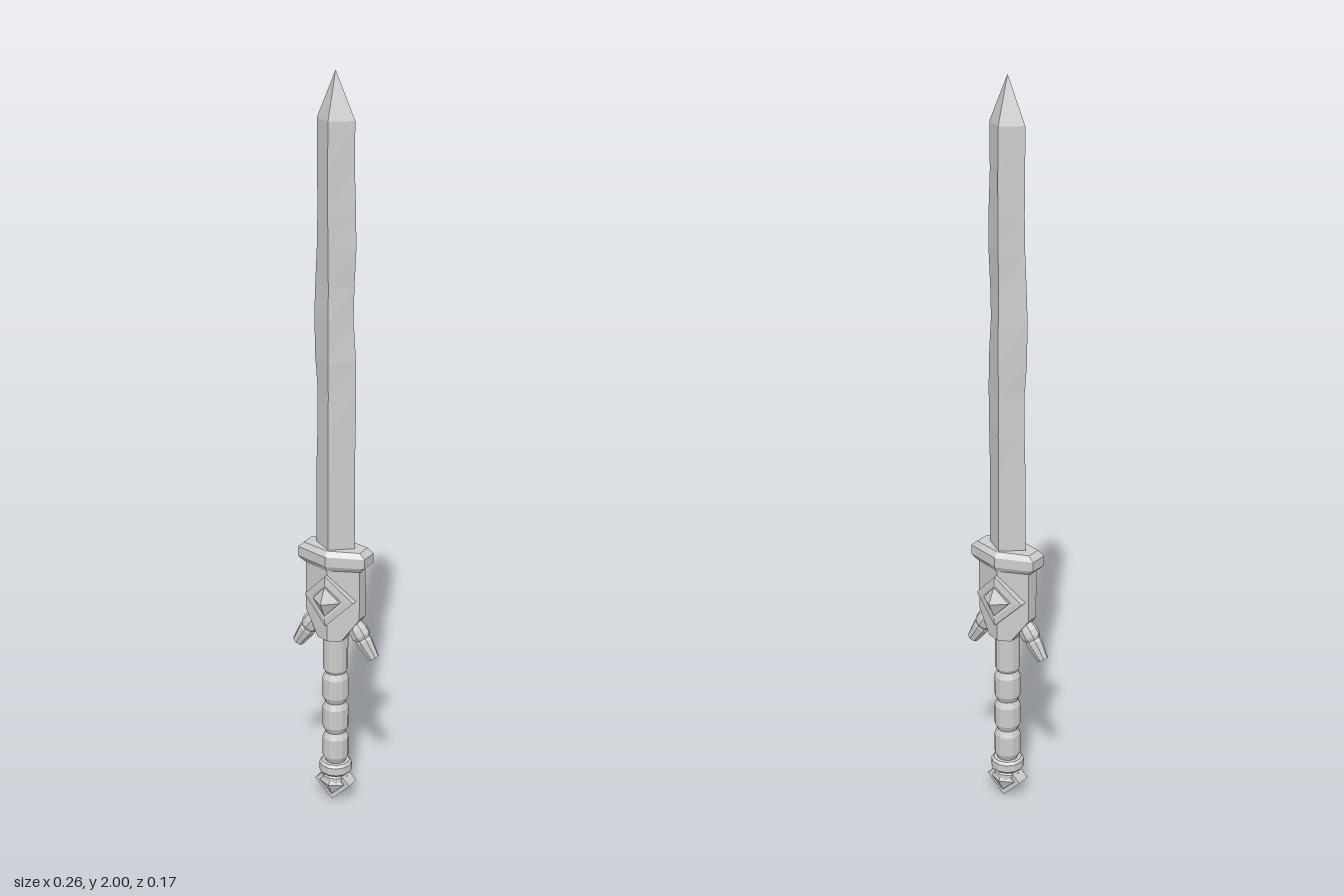
import * as THREE from 'three';

const material = new THREE.MeshStandardMaterial({ color: 0xcccccc, flatShading: true });

function addMesh(parent, name, geometry) {
  const mesh = new THREE.Mesh(geometry, material);
  mesh.name = name;
  parent.add(mesh);
  return mesh;
}

// Skins cross-sections; corners run counter-clockwise seen from the end of the loft.
function loft(rings) {
  const n = rings[0].length, pos = [], index = [];
  rings.forEach(ring => ring.forEach(p => pos.push(...p)));
  for (let r = 0; r < rings.length - 1; r++) {
    for (let i = 0; i < n; i++) {
      const a = r * n + i, b = r * n + (i + 1) % n;
      index.push(a, b, b + n, a, b + n, a + n);
    }
  }
  const last = (rings.length - 1) * n;
  for (let i = 1; i < n - 1; i++) {
    index.push(0, i + 1, i, last, last + i, last + i + 1);
  }
  const geometry = new THREE.BufferGeometry();
  geometry.setAttribute('position', new THREE.Float32BufferAttribute(pos, 3));
  geometry.setIndex(index);
  const flat = geometry.toNonIndexed();
  flat.computeVertexNormals();
  return flat;
}

// Six-sided plan section: half width w, half end thickness e, half depth d.
const hex = (y, w, e, d) => [
  [w, y, e], [w, y, -e], [0, y, -d], [-w, y, -e], [-w, y, e], [0, y, d],
];

// Diamond facing +z, folded back by "fold" at its side corners.
const diamond = (z, w, h, fold = 0) => [
  [w, 0, z - fold], [0, h, z], [-w, 0, z - fold], [0, -h, z],
];

const lathe = (profile, sides) =>
  new THREE.LatheGeometry(profile.map(([r, y]) => new THREE.Vector2(r, y)), sides);

export function createModel() {
  const sword = new THREE.Group();
  sword.name = 'sword';

  // Worn diamond-section blade: height, left edge, right edge, half depth
  const bladeRows = [
    [0.72, 0.057, 0.057, 0.042], [0.98, 0.056, 0.056, 0.041],
    [1.08, 0.053, 0.058, 0.042], [1.18, 0.052, 0.059, 0.04],
    [1.27, 0.059, 0.058, 0.042], [1.38, 0.061, 0.051, 0.041],
    [1.46, 0.058, 0.053, 0.039], [1.56, 0.053, 0.058, 0.041],
    [1.66, 0.051, 0.057, 0.042], [1.76, 0.052, 0.053, 0.042],
    [1.88, 0.052, 0.054, 0.04], [2.0, 0, 0, 0],
  ];
  addMesh(sword, 'blade', loft(bladeRows.map(([y, l, r, d]) => [
    [r, y, 0], [0, y, -d], [-l, y, 0], [0, y, d],
  ])));

  // Bevelled collar under the blade
  addMesh(sword, 'collar', loft([
    hex(0.7, 0.085, 0.02, 0.052), hex(0.714, 0.099, 0.026, 0.06),
    hex(0.741, 0.099, 0.026, 0.06), hex(0.755, 0.083, 0.022, 0.048),
  ]));

  // Guard body narrowing towards the grip
  addMesh(sword, 'guard', loft([
    hex(0.495, 0.035, 0.036, 0.05), hex(0.56, 0.08, 0.018, 0.05),
    hex(0.71, 0.08, 0.018, 0.05),
  ]));

  // Folded plate with a pointed stud on both faces of the guard
  for (const [side, turn] of [['front', 0], ['back', Math.PI]]) {
    const ornament = new THREE.Group();
    ornament.name = side + 'Ornament';
    ornament.position.y = 0.615;
    ornament.rotation.y = turn;
    addMesh(ornament, 'plate', loft([
      diamond(0.04, 0.072, 0.072, 0.025), diamond(0.061, 0.072, 0.072, 0.021),
      diamond(0.063, 0.05, 0.05, 0.015),
    ]));
    addMesh(ornament, 'stud', loft([
      diamond(0.05, 0.04, 0.042, 0.01), diamond(0.064, 0.04, 0.042, 0.01),
      diamond(0.087, 0, 0),
    ]));
    sword.add(ornament);
  }

  // Stepped prongs angled down and outwards
  for (const s of [1, -1]) {
    const prong = addMesh(sword, s > 0 ? 'leftProng' : 'rightProng', lathe([
      [0, -0.025], [0.022, -0.025], [0.028, -0.006], [0.028, 0.012], [0.022, 0.022],
      [0.024, 0.03], [0.016, 0.082], [0, 0.082],
    ], 8));
    prong.position.set(s * 0.07, 0.518, 0);
    prong.rotation.z = s * (Math.PI + 0.58);
    prong.scale.z = 0.85;
  }

  // Grip with three swellings between grooves
  const grip = [[0, 0.08], [0.029, 0.08]];
  for (const y of [0.115, 0.205, 0.295]) {
    grip.push([0.028, y], [0.036, y + 0.017], [0.036, y + 0.073], [0.028, y + 0.09]);
  }
  grip.push([0.034, 0.395], [0.034, 0.5], [0, 0.5]);
  addMesh(sword, 'grip', lathe(grip, 12));

  // Ring closing the grip
  addMesh(sword, 'gripRing', lathe([
    [0, 0.08], [0.038, 0.08], [0.045, 0.087], [0.045, 0.108], [0.038, 0.115], [0, 0.115],
  ], 12));
  addMesh(sword, 'pommelNeck', lathe([
    [0, 0.03], [0.02, 0.03], [0.036, 0.055], [0.036, 0.072], [0.026, 0.083], [0, 0.083],
  ], 12));

  // Diamond pommel with a small stud on both faces
  const pommel = new THREE.Group();
  pommel.name = 'pommel';
  pommel.position.y = 0.053;
  addMesh(pommel, 'pommelBlock', loft([
    diamond(-0.02, 0.053, 0.053), diamond(0.02, 0.053, 0.053),
  ]));
  for (const turn of [0, Math.PI]) {
    addMesh(pommel, 'pommelStud', loft([
      diamond(0.015, 0.037, 0.035), diamond(0.024, 0.037, 0.035), diamond(0.042, 0, 0),
    ])).rotation.y = turn;
  }
  sword.add(pommel);

  return sword;
}
